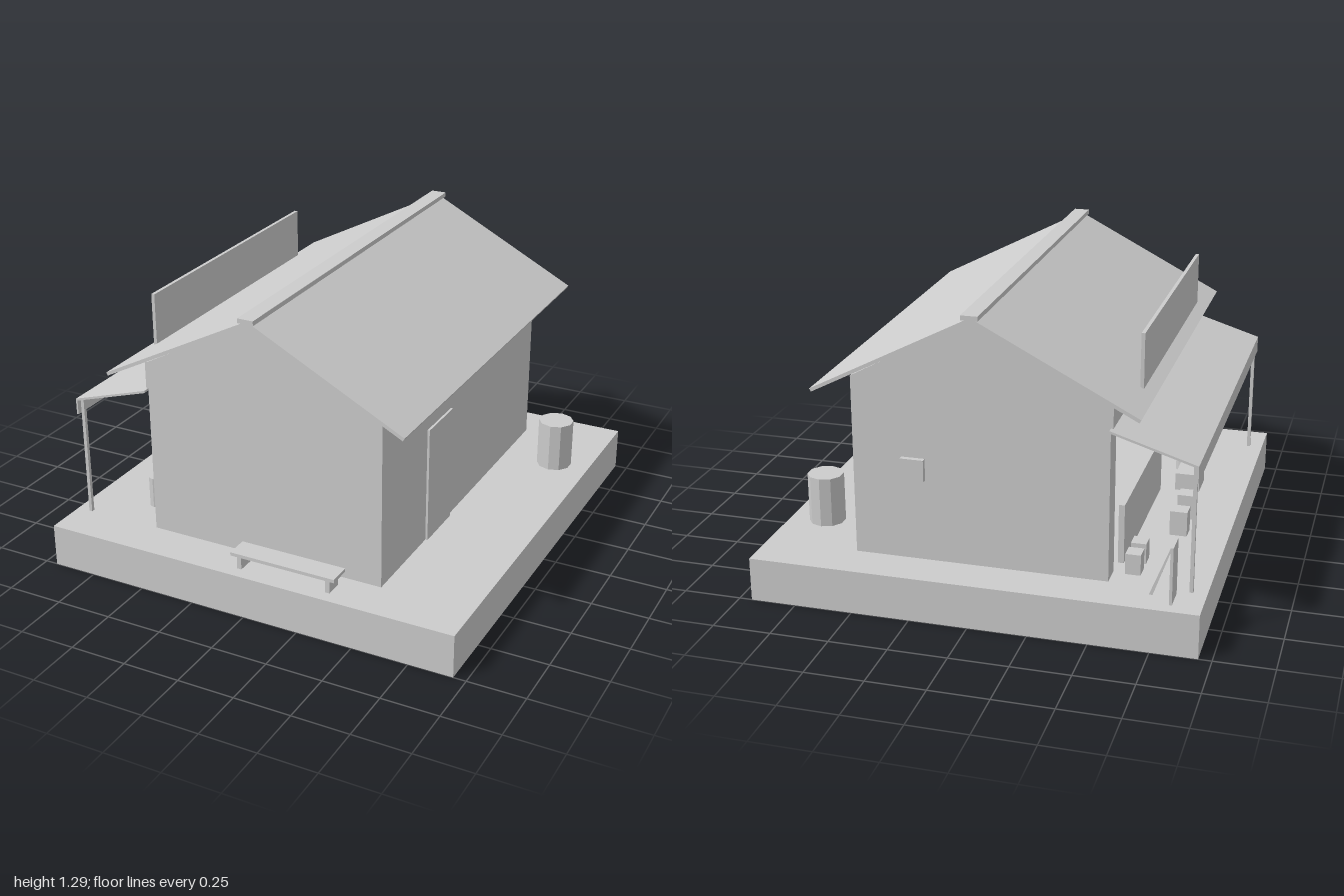
import * as THREE from 'three';

const grey = new THREE.MeshStandardMaterial({ color: 0xcccccc, flatShading: true });
grey.name = 'plainGrey';

export function createModel() {
  const model = new THREE.Group();
  model.name = 'shop';

  const add = (name, geometry, parent = model) => {
    const mesh = new THREE.Mesh(geometry, grey);
    mesh.name = name;
    parent.add(mesh);
    return mesh;
  };
  // Box given by its limits on each axis
  const box = (name, x0, x1, y0, y1, z0, z1, parent) => {
    const m = add(name, new THREE.BoxGeometry(x1 - x0, y1 - y0, z1 - z0), parent);
    m.position.set((x0 + x1) / 2, (y0 + y1) / 2, (z0 + z1) / 2);
    return m;
  };
  // Cross-section in x and y, extruded from z0 to z1
  const prism = (name, points, z0, z1) => {
    const shape = new THREE.Shape(points.map(([x, y]) => new THREE.Vector2(x, y)));
    const g = new THREE.ExtrudeGeometry(shape, { depth: z1 - z0, bevelEnabled: false });
    return add(name, g.translate(0, 0, z0));
  };
  const drum = (name, x, z, r, height) => {
    const m = add(name, new THREE.CylinderGeometry(r, r, height, 10));
    m.position.set(x, floor + height / 2, z);
    return m;
  };
  const floor = 0.19;

  box('plinth', -0.945, 0.945, 0, floor, -1, 1);

  // Walls: gable ends, closed right wall, open shop front with piers and header
  const gable = [[-0.54, floor], [0.54, floor], [0.54, 0.97], [0, 1.26], [-0.54, 0.97]];
  prism('frontGable', gable, 0.78, 0.81);
  prism('backGable', gable, -0.81, -0.78);
  box('sideWall', 0.51, 0.54, floor, 0.97, -0.78, 0.78);
  for (const s of [-1, 1]) {
    const pier = box('shopPier', -0.54, -0.51, floor, 0.97, 0.71, 0.81);
    pier.position.z *= s;
  }
  box('shopHeader', -0.55, -0.52, 0.85, 0.97, -0.81, 0.81);
  box('counter', -0.565, -0.54, floor, 0.45, -0.63, 0.17);

  // Roof slopes and ridge cap
  for (const s of [-1, 1]) {
    const section = [[0, 1.267], [0.671, 0.921], [0.678, 0.934], [0, 1.284]];
    prism('roofSlope', section.map(([x, y]) => [s * x, y]), -0.905, 0.905);
  }
  box('ridgeCap', -0.035, 0.035, 1.275, 1.295, -0.915, 0.915);
  box('roofBoard', -0.63, -0.615, 0.95, 1.19, -0.625, 0.62);

  // Awning with valance and posts
  prism('awning', [[-0.895, 0.732], [-0.54, 0.842], [-0.54, 0.852], [-0.895, 0.742]], -0.84, 0.84);
  box('awningValance', -0.895, -0.887, 0.67, 0.74, -0.84, 0.84);
  for (const z of [-0.81, 0.81]) box('awningPost', -0.887, -0.872, floor, 0.738, z - 0.008, z + 0.008);

  // Side door and back vent
  box('door', 0.54, 0.55, floor, 0.71, 0.14, 0.38);
  box('vent', 0.23, 0.33, 0.545, 0.64, -0.832, -0.81);

  // Bench
  const bench = new THREE.Group();
  bench.name = 'bench';
  model.add(bench);
  box('benchSeat', -0.08, 0.4, 0.25, 0.265, 0.855, 0.955, bench);
  for (const x of [-0.045, 0.365]) box('benchLeg', x - 0.01, x + 0.01, floor, 0.25, 0.87, 0.945, bench);

  // Barrel beside the house and canisters under the awning
  drum('barrel', 0.78, -0.545, 0.079, 0.22);
  drum('shortCanister', -0.625, 0.44, 0.038, 0.11);
  drum('tallCanister', -0.648, 0.53, 0.043, 0.27);
  drum('middleCanister', -0.65, 0.625, 0.038, 0.14);

  // Stools and crates
  for (const z of [-0.27, -0.09]) box('stool', -0.77, -0.695, floor, 0.3, z - 0.037, z + 0.037);
  box('crate', -0.74, -0.63, floor, 0.27, 0.18, 0.32);
  for (const z of [-0.69, -0.58]) box('smallCrate', -0.655, -0.59, floor, 0.28, z - 0.035, z + 0.035);

  // Standing board with a sloping prop
  box('standingBoard', -0.825, -0.813, floor, 0.435, -0.945, -0.84);
  prism('boardProp', [[-0.815, 0.42], [-0.735, floor], [-0.72, floor], [-0.815, 0.435]], -0.877, -0.862);

  return model;
}
